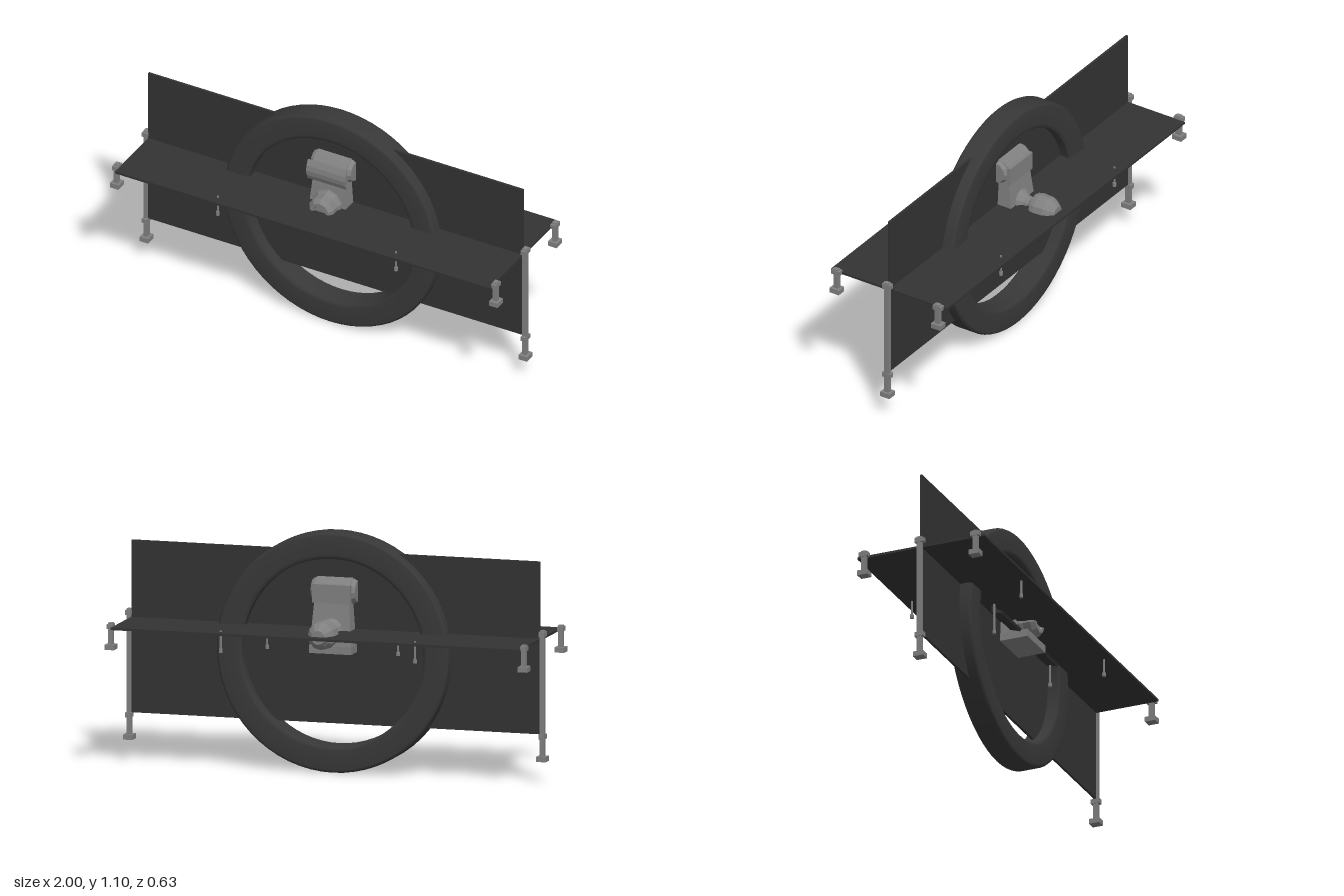
import * as THREE from 'three';

const mat = (color, flatShading = true) =>
  new THREE.MeshStandardMaterial({ color, flatShading, side: THREE.DoubleSide });
const dark = mat(0x333333);
const tyre = mat(0x383838, false);
const grey = mat(0x808080);

export function createModel() {
  const model = new THREE.Group();

  const add = (name, geo, material, x = 0, y = 0, z = 0, parent = model) => {
    const m = new THREE.Mesh(geo, material);
    m.name = name;
    m.position.set(x, y, z);
    parent.add(m);
    return m;
  };
  const box = (name, w, h, d, material, x, y, z, parent) =>
    add(name, new THREE.BoxGeometry(w, h, d), material, x, y, z, parent);
  // Lathe around the z axis; points are [radius, z]
  const latheZ = (name, pts, segs, material, y, parent) => {
    const g = new THREE.LatheGeometry(pts.map(([r, h]) => new THREE.Vector2(r, h)), segs);
    g.rotateX(Math.PI / 2);
    return add(name, g, material, 0, y, 0, parent);
  };

  // Crossed thin panels
  box('uprightPanel', 1.934, 0.79, 0.011, dark, 0, 0.623, 0);
  box('levelPanel', 1.934, 0.011, 0.626, dark, 0, 0.66, 0);

  // Ring with rounded outer shoulders
  latheZ('ring', [
    [0.43, -0.05], [0.437, -0.058], [0.45, -0.061], [0.49, -0.061], [0.535, -0.06], [0.545, -0.055], [0.55, -0.045],
    [0.55, 0.045], [0.545, 0.055], [0.535, 0.06], [0.49, 0.061], [0.45, 0.061], [0.437, 0.058], [0.43, 0.05], [0.43, -0.05],
  ], 64, tyre, 0.558);

  // Landing struts at both ends: square post, top cap, foot pad
  const strut = (name, x, z, bottom, top) => {
    const g = new THREE.Group();
    g.name = name;
    g.position.set(x, 0, z);
    model.add(g);
    box('post', 0.02, top - bottom, 0.024, grey, 0, (top + bottom) / 2, 0, g);
    box('topCap', 0.026, 0.022, 0.044, grey, 0, top - 0.017, 0, g);
    box('footPad', 0.044, 0.024, 0.05, grey, 0, bottom + 0.012, 0, g);
    return g;
  };
  for (const s of [-1, 1]) {
    const long = strut('longStrut', s * 0.978, 0, 0.104, 0.703);
    box('collar', 0.026, 0.022, 0.044, grey, 0, 0.217, 0, long);
    for (const z of [-0.275, 0.275]) strut('shortStrut', s * 0.978, z, 0.56, 0.683);

    // Thin pins hanging from the level panel
    const pin = (x, z, bottom, top) => {
      add('pin', new THREE.CylinderGeometry(0.005, 0.005, top - bottom, 8), grey, x, (top + bottom) / 2, z);
      add('pinFoot', new THREE.CylinderGeometry(0.009, 0.009, 0.018, 8), grey, x, bottom + 0.009, z);
    };
    for (const z of [-0.27, 0.27]) pin(s * 0.46, z, 0.57, 0.672);
    pin(s * 0.31, 0.07, 0.492, 0.64);
    pin(s * 0.31, -0.05, 0.56, 0.64);
  }

  // Slanted flap under the level panel
  box('flap', 0.62, 0.014, 0.055, dark, 0, 0.603, 0.082).rotation.x = 0.35;
  box('flapHinge', 0.62, 0.022, 0.012, dark, 0, 0.624, 0.062);

  // Central drive housing
  const drive = new THREE.Group();
  drive.name = 'drive';
  model.add(drive);

  // Tapered tower, widest at the base in both directions
  const tower = new THREE.BoxGeometry(0.2, 0.25, 0.18, 1, 2, 1);
  const p = tower.attributes.position;
  for (let i = 0; i < p.count; i++) {
    const t = (p.getY(i) + 0.125) / 0.25;
    p.setX(i, p.getX(i) * (1 - 0.18 * t));
    p.setZ(i, p.getZ(i) * (1 - 0.33 * t));
  }
  tower.computeVertexNormals();
  add('tower', tower, grey, 0, 0.685, 0, drive);
  box('towerBase', 0.2, 0.036, 0.23, grey, 0, 0.577, 0.025, drive);

  // Rounded head lying across the tower, with end caps
  const head = new THREE.CylinderGeometry(0.062, 0.062, 0.17, 12);
  head.rotateZ(Math.PI / 2);
  add('head', head, grey, 0, 0.838, 0, drive).scale.z = 1.1;
  for (const s of [-1, 1]) {
    const cap = new THREE.CylinderGeometry(0.05, 0.06, 0.02, 12);
    cap.rotateZ(-s * Math.PI / 2);
    add('headCap', cap, grey, s * 0.095, 0.838, 0, drive);
  }
  // Flared faces on the head
  box('headNeck', 0.14, 0.065, 0.04, grey, 0, 0.83, 0.07, drive);
  const flare = new THREE.BoxGeometry(0.2, 0.1, 0.012, 4, 4, 1);
  const f = flare.attributes.position;
  for (let i = 0; i < f.count; i++) {
    const v = f.getY(i) / 0.05;
    f.setZ(i, f.getZ(i) * (1.8 - 1.3 * v * v) - 0.008 * v * v);
  }
  flare.computeVertexNormals();
  add('frontFlare', flare, grey, 0, 0.83, 0.088, drive);
  box('rearFlare', 0.18, 0.085, 0.02, grey, 0, 0.83, -0.064, drive);

  // Short front motor
  latheZ('frontMotor', [
    [0, 0.05], [0.075, 0.05], [0.075, 0.085], [0.066, 0.1], [0.066, 0.135],
    [0.05, 0.157], [0.035, 0.157], [0.03, 0.148], [0, 0.148],
  ], 10, grey, 0.665, drive);

  // Long rear motor on a narrow neck
  latheZ('rearMotor', [
    [0, -0.27], [0.032, -0.27], [0.052, -0.245], [0.063, -0.225], [0.066, -0.175], [0.06, -0.15], [0.035, -0.137],
    [0.026, -0.125], [0.034, -0.118], [0.034, -0.105], [0.05, -0.085], [0.065, -0.06], [0, -0.06],
  ], 12, grey, 0.662, drive);

  return model;
}
